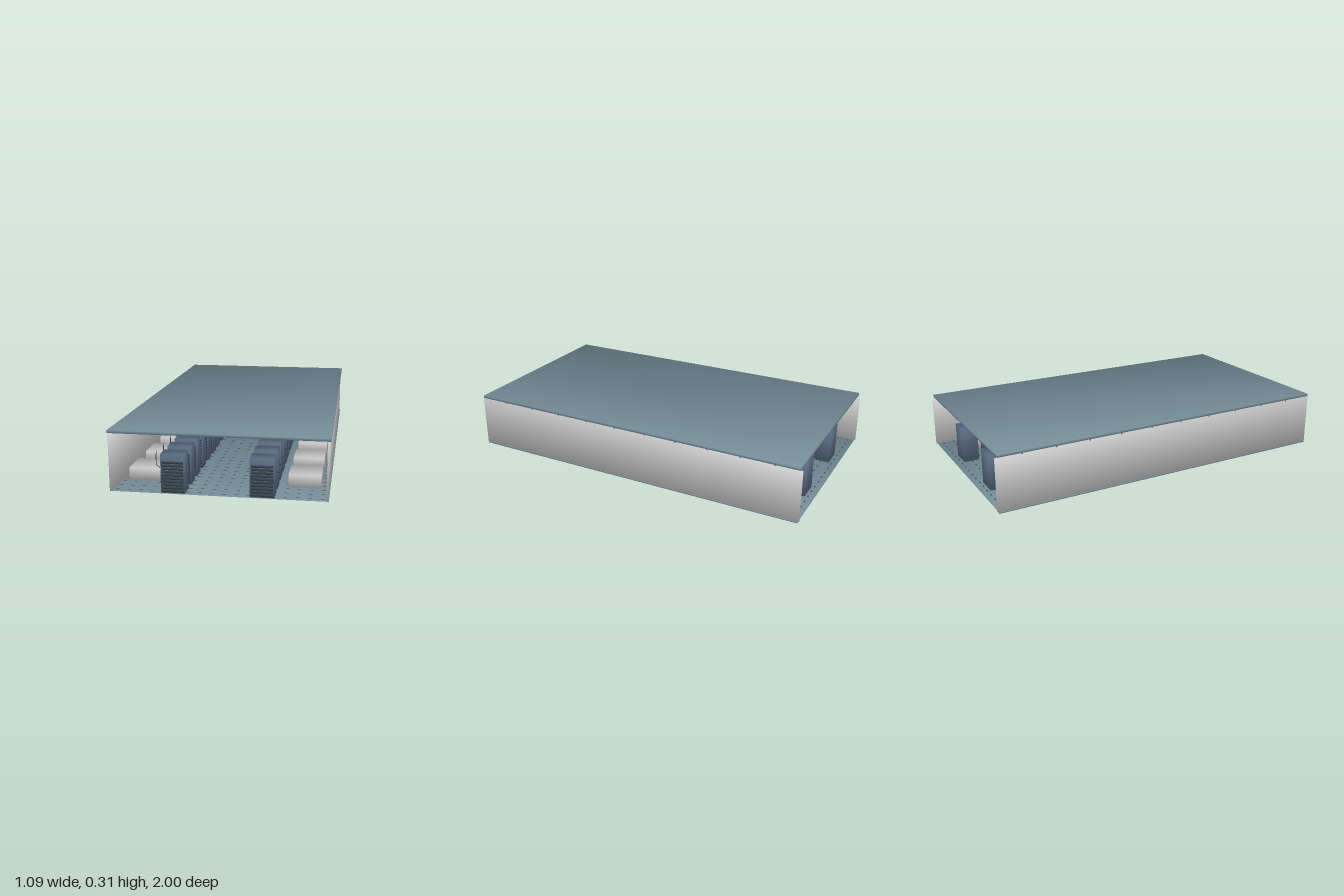
import * as THREE from 'three';
import { mergeGeometries } from 'three/addons/utils/BufferGeometryUtils.js';

const mat = (color, extra = {}) => new THREE.MeshStandardMaterial({ color, ...extra });
const grey = mat(0xcccccc);
const slate = mat(0x78909c);
const navy = mat(0x5a6b82);
const dark = mat(0x37474f);
const orange = mat(0xd9983f);
const cyan = mat(0x4fb3d9);

// Box whose corner normals point outward diagonally, for soft shading
function softBox(w, h, d) {
  const g = new THREE.BoxGeometry(w, h, d);
  const p = g.attributes.position, n = g.attributes.normal;
  const v = new THREE.Vector3();
  for (let i = 0; i < p.count; i++) {
    v.set(Math.sign(p.getX(i)), Math.sign(p.getY(i)), Math.sign(p.getZ(i))).normalize();
    n.setXYZ(i, v.x, v.y, v.z);
  }
  return g;
}

function add(parent, name, geometry, material, x = 0, y = 0, z = 0) {
  const mesh = new THREE.Mesh(geometry, material);
  mesh.name = name;
  mesh.position.set(x, y, z);
  parent.add(mesh);
  return mesh;
}

const tube = (points, r) => new THREE.TubeGeometry(
  new THREE.CatmullRomCurve3(points.map((p) => new THREE.Vector3(...p))), 36, r, 6);

// Cabinet with a stack of slim units on its front
function makeRack() {
  const rack = new THREE.Group();
  rack.name = 'serverRack';
  add(rack, 'rackCabinet', softBox(0.12, 0.197, 0.085), navy, 0, 0.1065, 0);
  const units = [];
  for (let i = 0; i < 10; i++) {
    const unit = softBox(0.108, 0.011, 0.006);
    unit.translate(0, 0.02 + i * 0.016, 0.0445);
    units.push(unit);
  }
  add(rack, 'rackUnits', mergeGeometries(units), dark);
  return rack;
}

export function createModel() {
  const room = new THREE.Group();
  room.name = 'serverRoom';

  // Floor slab, open at its two short ends
  const floor = softBox(1.08, 0.007, 1.99);
  floor.setIndex(Array.from(floor.index.array).slice(0, 24));
  add(room, 'floor', floor, slate, 0, 0.0035, 0);

  // Perforations in the floor tiles
  const holes = [];
  for (let i = 0; i < 18; i++) {
    for (let j = 0; j < 32; j++) {
      const hole = new THREE.PlaneGeometry(0.018, 0.007);
      hole.rotateX(-Math.PI / 2);
      hole.translate(-0.51 + i * 0.06, 0.0078, -0.96 + j * 0.062);
      holes.push(hole);
    }
  }
  add(room, 'floorPerforations', mergeGeometries(holes), dark);

  // Ceiling and its cross beams
  add(room, 'ceiling', softBox(1.09, 0.014, 1.98), slate, 0, 0.308, 0);
  for (let i = 0; i < 10; i++) {
    add(room, 'ceilingBeam', softBox(1.075, 0.01, 0.008), slate, 0, 0.296, 0.825 - i * 0.187);
  }

  const rackCount = 14;
  for (const s of [-1, 1]) {
    const side = s > 0 ? 'left' : 'right';
    add(room, side + 'Wall', softBox(0.008, 0.289, 2), grey, s * 0.533, 0.1515, 0);

    // Row of racks, each with a loose cable rising from its outer side
    for (let i = 0; i < rackCount; i++) {
      const z = 0.945 - i * 0.142;
      const rack = makeRack();
      rack.position.set(s * 0.22, 0, z);
      room.add(rack);
      add(room, 'rackCable', tube([
        [s * 0.275, 0.126, z], [s * 0.297, 0.126, z], [s * 0.309, 0.136, z],
        [s * 0.312, 0.17, z], [s * 0.31, 0.21, z]], 0.0018), dark);
    }

    // Low units along the wall
    for (let i = 0; i < 6; i++) {
      add(room, 'lowUnit', softBox(0.165, 0.065, 0.17), grey, s * 0.4125, 0.0405, 0.725 - i * 0.305);
    }
  }

  // Overhead cables crossing the aisle and folding back at each side
  for (const z of [0.55, 0, -0.55]) {
    add(room, 'crossCable', tube([
      [-0.33, 0.218, z], [-0.42, 0.222, z], [-0.34, 0.232, z], [-0.375, 0.24, z], [-0.3, 0.245, z],
      [0, 0.246, z], [0.3, 0.245, z], [0.395, 0.24, z], [0.35, 0.232, z], [0.4, 0.226, z],
      [0.36, 0.222, z]], 0.003), orange);
    for (const s of [-1, 1]) {
      add(room, 'cableEnd', tube([
        [s * 0.43, 0.227, z], [s * 0.39, 0.226, z + 0.02], [s * 0.35, 0.222, z + 0.03]], 0.003), cyan);
    }
  }
  return room;
}
